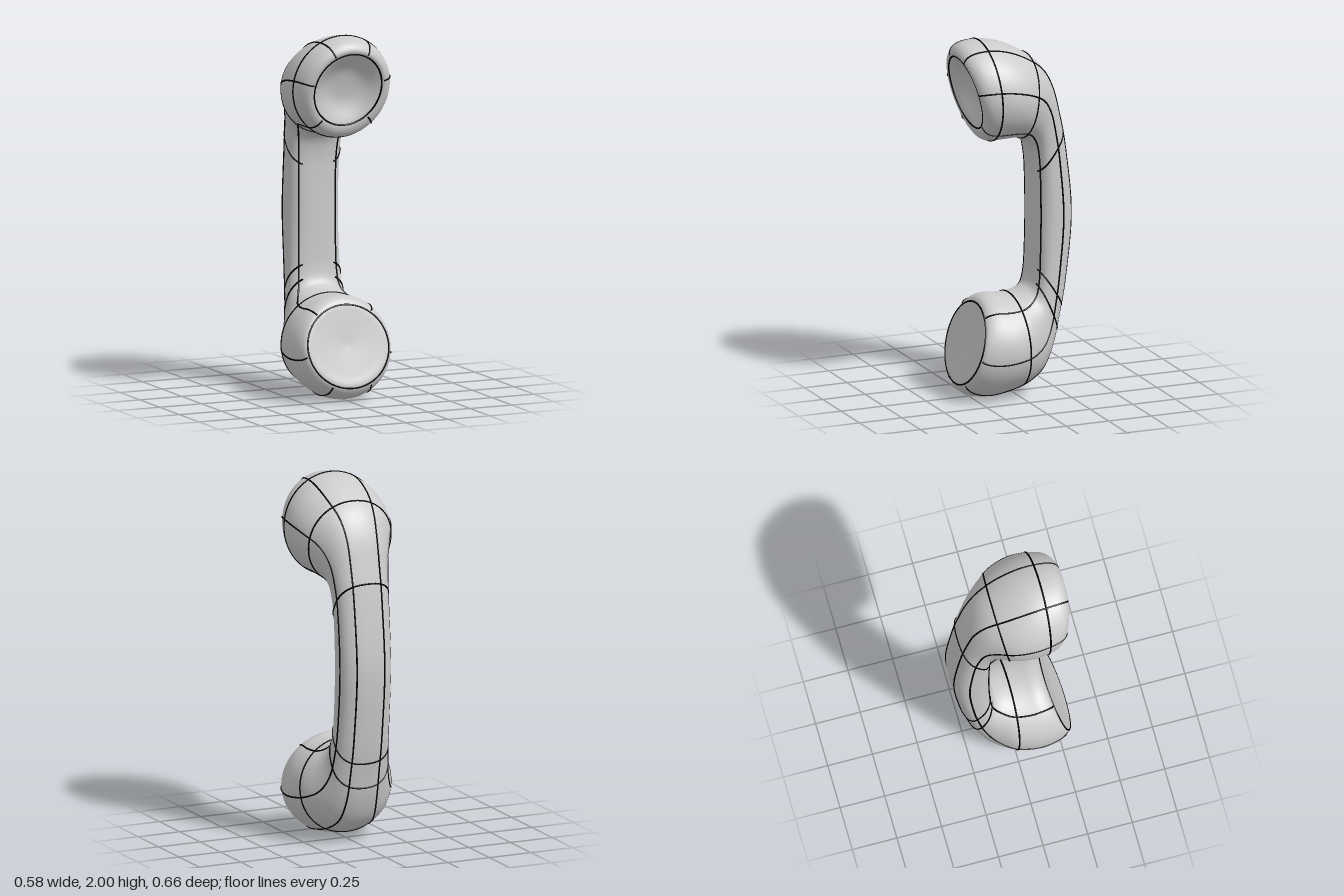
import * as THREE from 'three';

// Cross-sections from earpiece to mouthpiece:
// [back z, back y, inner z, inner y, half width, squareness]
const SECTIONS = [
  [0.2, 1.725, 0.2, 1.725, 0, 2],          // dished earpiece centre
  [0.235, 1.82, 0.187, 1.63, 0.1, 2],
  [0.305, 1.9, 0.212, 1.53, 0.185, 2],     // inner lip
  [0.324, 1.94, 0.212, 1.485, 0.225, 2],   // outer lip
  [0.285, 1.983, 0.19, 1.45, 0.262, 2],
  [0.19, 1.998, 0.15, 1.438, 0.283, 2],
  [0.08, 1.98, 0.08, 1.44, 0.288, 2],
  [-0.04, 1.925, 0.0, 1.44, 0.265, 2.05],
  [-0.145, 1.845, -0.055, 1.42, 0.215, 2.15],
  [-0.21, 1.73, -0.09, 1.37, 0.178, 2.3],
  [-0.25, 1.58, -0.106, 1.29, 0.16, 2.5],
  [-0.288, 1.38, -0.11, 1.19, 0.153, 2.6], // handle
  [-0.325, 1.0, -0.11, 1.0, 0.152, 2.6],
  [-0.288, 0.62, -0.11, 0.81, 0.153, 2.6],
  [-0.25, 0.42, -0.106, 0.68, 0.16, 2.5],
  [-0.21, 0.25, -0.09, 0.61, 0.178, 2.3],
  [-0.145, 0.12, -0.055, 0.58, 0.215, 2.15],
  [-0.04, 0.052, 0.0, 0.562, 0.265, 2.05],
  [0.08, 0.018, 0.08, 0.562, 0.288, 2],
  [0.19, 0.005, 0.14, 0.568, 0.285, 2],
  [0.285, 0.03, 0.185, 0.555, 0.268, 2],
  [0.328, 0.085, 0.208, 0.525, 0.24, 2],   // mouthpiece lip
  [0.31, 0.15, 0.222, 0.47, 0.17, 2],
  [0.28, 0.24, 0.24, 0.385, 0.08, 2],
  [0.255, 0.312, 0.255, 0.312, 0, 2],      // flat mouthpiece centre
];
const LAST = SECTIONS.length - 1;

const curve = (f) => new THREE.CatmullRomCurve3(SECTIONS.map(f), false, 'catmullrom', 0.5);
const back = curve((s) => new THREE.Vector3(0, s[1], s[0]));
const inner = curve((s) => new THREE.Vector3(0, s[3], s[2]));
const girth = curve((s) => new THREE.Vector3(s[4], s[5], 0));

// Point on the skin: s = section number, a = angle from the back towards +x
function skin(s, a) {
  const u = Math.min(1, Math.max(0, s / LAST));
  const b = back.getPoint(u), i = inner.getPoint(u), g = girth.getPoint(u);
  const round = (v) => Math.sign(v) * Math.abs(v) ** (2 / g.y);
  const p = b.clone().add(i).multiplyScalar(0.5);
  p.addScaledVector(b.sub(i), 0.5 * round(Math.cos(a)));
  p.x = Math.max(0, g.x) * round(Math.sin(a));
  return p;
}

// Closed skin lofted through the sections
function loft(steps, sides) {
  const pos = [], index = [];
  const rows = LAST * steps;
  const id = (r, k) => (r === 0 ? 0 : r === rows ? 1 : 2 + (r - 1) * sides + (k % sides));
  pos.push(...skin(0, 0).toArray(), ...skin(LAST, 0).toArray());
  for (let r = 1; r < rows; r++)
    for (let k = 0; k < sides; k++)
      pos.push(...skin(r / steps, (k / sides) * Math.PI * 2).toArray());
  for (let r = 0; r < rows; r++)
    for (let k = 0; k < sides; k++) {
      const a = id(r, k), b = id(r, k + 1), c = id(r + 1, k), d = id(r + 1, k + 1);
      if (r < rows - 1) index.push(b, d, c);
      if (r > 0) index.push(a, b, c);
      // rows touching a pole need one triangle per side only
    }
  const geo = new THREE.BufferGeometry();
  geo.setAttribute('position', new THREE.Float32BufferAttribute(pos, 3));
  geo.setIndex(index);
  geo.computeVertexNormals();
  return geo;
}

export function createModel() {
  const model = new THREE.Group();
  model.name = 'handset';

  const body = new THREE.Mesh(loft(5, 64), new THREE.MeshStandardMaterial({ color: 0xcccccc }));
  body.name = 'handsetBody';
  model.add(body);

  // Thin black contour lines lying on the skin
  const lines = new THREE.Group();
  lines.name = 'contourLines';
  model.add(lines);
  const black = new THREE.MeshStandardMaterial({ color: 0x000000 });
  const rad = THREE.MathUtils.degToRad;
  const addLine = (name, at, count, closed = false) => {
    const pts = Array.from({ length: count }, (_, k) => at(k / (closed ? count : count - 1)));
    const path = new THREE.CatmullRomCurve3(pts, closed);
    const mesh = new THREE.Mesh(new THREE.TubeGeometry(path, count * 2, 0.005, 6, closed), black);
    mesh.name = name;
    lines.add(mesh);
  };

  // Lines running from lip to lip, mirrored left and right
  for (const side of [1, -1])
    for (const deg of [27, 80, 140])
      addLine('lengthwiseLine', (t) => skin(2.6 + t * 18.2, rad(side * deg)), 60);

  // Full rings around the lips and cups
  for (const s of [2.3, 5, 7.4, 17.2, 21])
    addLine('cupRing', (t) => skin(s, t * Math.PI * 2), 40, true);

  // Handle rings, open along the inner face
  for (const s of [10.6, 13.7, 14.5])
    addLine('handleRing', (t) => skin(s, rad(-150 + 300 * t)), 40);

  return model;
}
